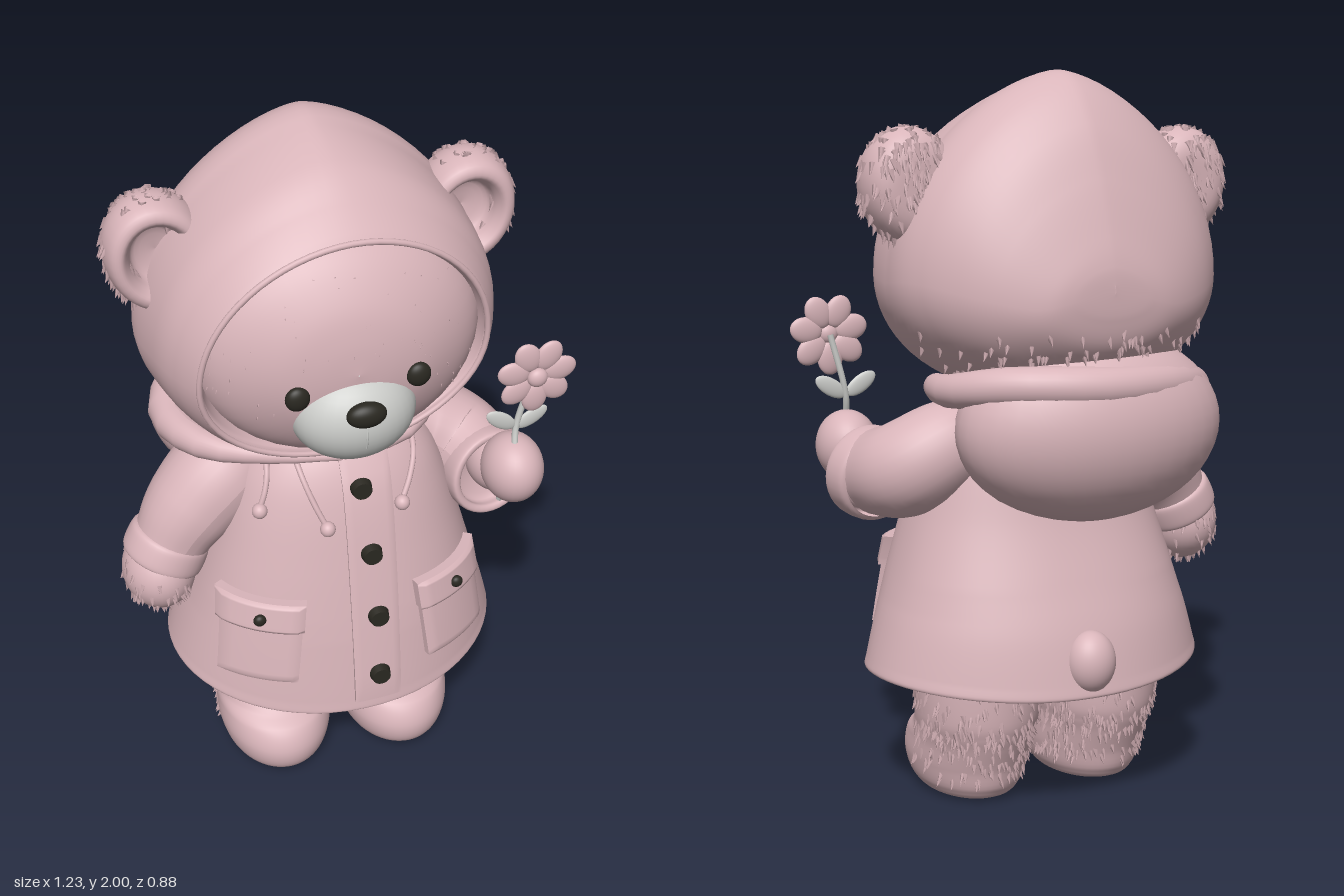
import * as THREE from 'three';
import { mergeGeometries } from 'three/addons/utils/BufferGeometryUtils.js';
import { ParametricGeometry } from 'three/addons/geometries/ParametricGeometry.js';

const V = (x, y, z) => new THREE.Vector3(x, y, z);
const mat = (name, color) => Object.assign(new THREE.MeshStandardMaterial({ color }), { name });

let seed = 7;
const rand = () => (seed = (seed * 16807) % 2147483647) / 2147483647;

// Smooth interpolation through a short table of rows
function sample(rows, t) {
  const f = Math.min(Math.max(t, 0), 1) * (rows.length - 1);
  const i = Math.min(Math.floor(f), rows.length - 2), s = f - i;
  const a = rows[Math.max(i - 1, 0)], b = rows[i], c = rows[i + 1], d = rows[Math.min(i + 2, rows.length - 1)];
  return b.map((_, k) => b[k] + 0.5 * s * (c[k] - a[k] + s * (2 * a[k] - 5 * b[k] + 4 * c[k] - d[k] + s * (3 * (b[k] - c[k]) + d[k] - a[k]))));
}

// Stack of rounded rings; rows are [y, half width, front z, back z], a lower power is squarer
const power = (v, e) => Math.sign(v) * Math.abs(v) ** e;
function ovalStack(rows, x0, n, square = () => 1, bend = () => 0) {
  return new ParametricGeometry((u, v, p) => {
    const a = u * Math.PI * 2, [y, w, f, b] = sample(rows, v), c = Math.cos(a), mid = (f + b) / 2, e = square(y);
    p.set(x0 + w * power(Math.sin(a), e), y + bend(a, y), mid + (f - mid) * power(c, e));
  }, 64, n);
}

function ball(rx, ry, rz, x, y, z, rotZ = 0) {
  return new THREE.SphereGeometry(1, 36, 24).scale(rx, ry, rz).rotateZ(rotZ).translate(x, y, z);
}

// Tube whose radius follows a list
function limb(points, radii) {
  const curve = new THREE.CatmullRomCurve3(points), n = 32, m = 28;
  const g = new THREE.TubeGeometry(curve, n, 1, m), pos = g.attributes.position, v = V(0, 0, 0);
  for (let i = 0; i < pos.count; i++) {
    const t = Math.floor(i / (m + 1)) / n, c = curve.getPointAt(t);
    v.fromBufferAttribute(pos, i).sub(c).multiplyScalar(sample(radii.map(r => [r]), t)[0]).add(c);
    pos.setXYZ(i, v.x, v.y, v.z);
  }
  g.computeVertexNormals();
  return g;
}

const tube = (points, r, closed = false) =>
  new THREE.TubeGeometry(new THREE.CatmullRomCurve3(points, closed), 64, r, 10, closed);

// Turned shape whose axis points along dir
function turned(profile, centre, dir) {
  const g = new THREE.LatheGeometry(new THREE.SplineCurve(profile.map(p => new THREE.Vector2(...p))).getPoints(36), 36);
  return g.applyQuaternion(new THREE.Quaternion().setFromUnitVectors(V(0, 1, 0), dir.normalize())).translate(centre.x, centre.y, centre.z);
}

// Little tufts scattered over a surface, combed downwards
function tufts(source, count, len, keep = () => true) {
  const pos = source.attributes.position, nor = source.attributes.normal, out = [], q = new THREE.Quaternion();
  for (let k = 0; k < count * 20 && out.length < count; k++) {
    const i = Math.floor(rand() * pos.count);
    const p = V().fromBufferAttribute(pos, i), n = V().fromBufferAttribute(nor, i).normalize();
    if (!keep(p, n)) continue;
    const dir = n.clone().multiplyScalar(0.4).add(V((rand() - 0.5) * 0.5, -0.8, 0)).normalize();
    q.setFromUnitVectors(V(0, 1, 0), dir);
    p.addScaledVector(n, -0.004).addScaledVector(V(rand() - 0.5, rand() - 0.5, rand() - 0.5).projectOnPlane(n), 0.02);
    out.push(new THREE.ConeGeometry(len * 0.32, len, 5, 1, true).translate(0, len * 0.3, 0).applyQuaternion(q).translate(p.x, p.y, p.z));
  }
  return mergeGeometries(out);
}

// Coat is squarer at the pockets than at the hem
const coatSquare = y => 0.87 + 0.1 * Math.min(1, Math.max(0, (0.65 - y) / 0.25));
const COAT = [[0.44, 0.01, 0.01, -0.01], [0.43, 0.42, 0.33, -0.33], [0.37, 0.465, 0.36, -0.365], [0.365, 0.483, 0.38, -0.383],
  [0.40, 0.477, 0.377, -0.378], [0.52, 0.445, 0.358, -0.35], [0.65, 0.405, 0.335, -0.305], [0.80, 0.36, 0.305, -0.255],
  [0.95, 0.315, 0.27, -0.22], [1.05, 0.27, 0.235, -0.19], [1.12, 0.205, 0.19, -0.16], [1.18, 0.1, 0.12, -0.1]];

// Point on the coat front, pushed out along its normal
function onCoat(x, y, off) {
  let lo = 3 / 11, hi = 1;
  for (let i = 0; i < 24; i++) { const m = (lo + hi) / 2; if (sample(COAT, m)[0] < y) lo = m; else hi = m; }
  const [, w, f, b] = sample(COAT, lo), mid = (f + b) / 2, r = f - mid, e = coatSquare(y);
  const z = r * Math.max(0.02, 1 - Math.abs(x / w) ** (2 / e)) ** (e / 2);
  const n = V(x / (w * w), 0, z / (r * r)).normalize();
  return V(x, y, mid + z).addScaledVector(n, off);
}

// Slab wrapped over the coat front
function patch(x, y, w, h, d, lean = 0) {
  const g = new THREE.BoxGeometry(w, h, d, 12, 16, 1), p = g.attributes.position;
  for (let i = 0; i < p.count; i++) {
    const edge = Math.max(Math.abs(p.getX(i)) / w, Math.abs(p.getY(i)) / h) * 2;
    const off = p.getZ(i) > 0 ? d * (edge > 0.95 ? 0.7 : 1) : -0.01;
    const v = onCoat(x + p.getX(i) + lean * p.getY(i), y + p.getY(i), off);
    p.setXYZ(i, v.x, v.y, v.z);
  }
  g.computeVertexNormals();
  return g;
}

export function createModel() {
  const model = new THREE.Group();
  const pink = mat('dustyPink', 0xd9b5ba), ivory = mat('ivoryGrey', 0xcbccc9), black = mat('softBlack', 0x2a2821);
  pink.side = ivory.side = THREE.DoubleSide;
  const add = (name, geo, m = pink) => {
    const mesh = new THREE.Mesh(geo, m);
    mesh.name = name;
    model.add(mesh);
    return geo;
  };
  const cx = -0.04;

  // Hood; rows are [z, top, bottom, half width], from the inner lining round the lip to the back
  const HOOD = [[0.14, 1.77, 1.22, 0.35], [0.235, 1.795, 1.185, 0.372], [0.258, 1.81, 1.165, 0.38], [0.25, 1.825, 1.14, 0.395],
    [0.19, 1.88, 1.125, 0.428], [0.1, 1.95, 1.12, 0.457], [-0.06, 2.0, 1.13, 0.472], [-0.17, 1.965, 1.15, 0.438],
    [-0.26, 1.86, 1.18, 0.372], [-0.325, 1.72, 1.23, 0.295], [-0.375, 1.575, 1.29, 0.2], [-0.395, 1.5, 1.36, 0.12], [-0.4, 1.45, 1.43, 0.002]];
  const hoodPoint = (u, v, p) => {
    const a = u * Math.PI * 2, [z, top, bot, w] = sample(HOOD, v), s = Math.sin(a), c = Math.cos(a);
    const front = Math.min(1, Math.max(0, z / 0.25)), mid = bot + (top - bot) * (0.37 + 0.08 * front);
    const x = w * power(s, c > 0 ? 1.33 - 0.3 * front : 1);
    const y = mid + (c > 0 ? top - mid : mid - bot) * c;
    return p.set(cx + 0.012 * front + x, y, z + ((y - 1.48) * 0.1 - 0.055 * x) * front);
  };
  const hood = add('hood', new ParametricGeometry(hoodPoint, 72, 60));
  add('hoodBackFur', tufts(hood, 130, 0.032, p => p.y < 1.33 && p.z < -0.05));
  const rim = [];
  for (let i = 0; i < 40; i++) rim.push(hoodPoint(i / 40, 0.2, V()));
  add('hoodRim', tube(rim, 0.008, true));

  // Face, a broad shallow dome that fills the opening
  const face = add('face', turned([[0.3, -0.1], [0.37, 0.05], [0.385, 0.15], [0.36, 0.225], [0.3, 0.285], [0.2, 0.338], [0.1, 0.362], [0.002, 0.37]],
    V(0, 0, 0), V(0, 0, 1)).scale(1, 0.88, 1).translate(-0.03, 1.485, 0));
  add('faceFur', tufts(face, 70, 0.016, (p, n) => n.z > 0.45 && p.y > 1.3 && Math.hypot(p.x + 0.03, p.y - 1.34) > 0.2));
  add('muzzle', ball(0.165, 0.135, 0.13, -0.026, 1.345, 0.3), ivory);
  add('nose', ball(0.052, 0.035, 0.028, -0.025, 1.4, 0.418), black);
  add('mouth', tube([V(-0.025, 1.37, 0.425), V(-0.025, 1.335, 0.4285), V(-0.025, 1.3, 0.421)], 0.003), ivory);
  for (const s of [-1, 1]) add('eye', ball(0.032, 0.034, 0.02, -0.027 + s * 0.157, 1.443 + s * 0.007, 0.355), black);

  // Ears with a cupped front and furry back
  for (const s of [-1, 1]) {
    const ear = turned([[0, -0.09], [0.078, -0.088], [0.12, -0.058], [0.135, 0], [0.124, 0.062], [0.098, 0.078], [0.078, 0.055], [0.06, 0.015], [0, 0]],
      V(0, 0, 0), V(0, 0, 1)).scale(1, 1.18, 1).rotateZ(-s * 0.2).translate(cx + s * 0.405, 1.695, -0.02);
    add('ear', ear);
    add('earFur', tufts(ear, 170, 0.035, (p, n) => p.z < 0.03 && n.z < 0.3 && s * (p.x - cx) > 0.34));
  }

  // Coat, placket, buttons and pockets
  add('coat', ovalStack(COAT, 0, 60, coatSquare, (a, y) => -(0.02 * Math.cos(2 * a) + 0.015 * Math.cos(a)) * Math.max(0, 1 - Math.abs(y - 0.37) / 0.2)));
  add('placket', patch(0.035, 0.74, 0.135, 0.74, 0.012));
  [[0.015, 1.035], [0.03, 0.845], [0.04, 0.65], [0.038, 0.46]].forEach(([x, y]) => {
    const p = onCoat(x, y, 0.02), g = new THREE.CylinderGeometry(0.026, 0.031, 0.022, 24).rotateX(Math.PI / 2);
    add('coatButton', g.translate(p.x, p.y, p.z), black);
  });
  for (const s of [-1, 1]) {
    add('pocket', patch(s * 0.272, 0.57, 0.195, 0.21, 0.025, -s * 0.12));
    add('pocketFlap', patch(s * 0.259, 0.677, 0.205, 0.085, 0.036, -s * 0.12));
    const b = onCoat(s * 0.263, 0.677, 0.04);
    add('pocketButton', ball(0.018, 0.018, 0.014, b.x, b.y, b.z), black);
  }

  // Drawstrings with bead ends
  [[-0.2, -0.243, 0.975], [-0.14, -0.083, 0.94], [0.19, 0.125, 0.97]].forEach(([x0, x1, y]) => {
    const pts = [0, 0.33, 0.66, 1].map(t => onCoat(x0 + (x1 - x0) * t ** 1.5, 1.13 + (y - 1.13) * t, 0.012));
    add('drawstring', tube(pts, 0.008));
    add('drawstringBead', ball(0.021, 0.022, 0.021, pts[3].x, pts[3].y, pts[3].z + 0.005));
  });

  // Spare hood hanging down the back, with its thick rolled collar
  add('hangingHood', ball(0.385, 0.26, 0.235, -0.075, 1.06, -0.2));
  add('collarRoll', limb([V(-0.02, 1.11, 0.2), V(0.16, 1.13, 0.17), V(0.26, 1.155, 0.06), V(0.295, 1.165, -0.12), V(0.2, 1.19, -0.28), V(-0.04, 1.185, -0.365),
    V(-0.3, 1.17, -0.29), V(-0.42, 1.125, -0.12), V(-0.37, 1.13, 0.06), V(-0.2, 1.13, 0.17), V(-0.02, 1.11, 0.2)],
  [0.012, 0.025, 0.038, 0.05, 0.055, 0.055, 0.055, 0.06, 0.045, 0.025, 0.012]));

  // Sleeves, cuffs and paws
  const cuff = (r, c, d) => add('cuff', turned([[r * 0.9, -0.045], [r * 1.02, -0.03], [r * 1.05, 0.02], [r, 0.04], [r * 0.85, 0.035], [r * 0.78, 0], [0.01, -0.02]], c, d));
  add('rightSleeve', limb([V(-0.18, 1.06, -0.02), V(-0.31, 0.98, 0), V(-0.42, 0.87, 0.02), V(-0.47, 0.79, 0.03)], [0.09, 0.135, 0.13, 0.105]));
  cuff(0.112, V(-0.48, 0.775, 0.03), V(-0.45, -0.9, 0.1));
  const paw = add('rightPaw', ball(0.103, 0.115, 0.12, -0.508, 0.71, 0.04));
  add('rightPawFur', tufts(paw, 110, 0.03, p => p.y < 0.76));
  add('leftSleeve', limb([V(0.17, 1.05, -0.03), V(0.29, 1.0, -0.04), V(0.38, 0.945, 0.0), V(0.425, 0.92, 0.11)], [0.1, 0.125, 0.132, 0.118]));
  cuff(0.124, V(0.428, 0.915, 0.12), V(0.2, 0.12, 1));
  add('leftWrist', ball(0.085, 0.09, 0.1, 0.45, 0.95, 0.13));
  add('leftPaw', ball(0.086, 0.1, 0.1, 0.465, 0.98, 0.215));

  // Flower
  const fx = 0.505, fy = 1.29, fz = 0.235;
  add('stem', tube([V(0.44, 0.86, 0.2), V(0.455, 1.0, 0.25), V(0.465, 1.12, 0.22), V(fx, fy, fz - 0.01)], 0.009), ivory);
  for (let i = 0; i < 7; i++) {
    const a = i / 7 * Math.PI * 2 + 0.2;
    add('petal', ball(0.046, 0.036, 0.014, fx + 0.067 * Math.cos(a), fy + 0.067 * Math.sin(a), fz, a));
  }
  add('flowerCentre', ball(0.028, 0.028, 0.02, fx, fy, fz + 0.008));
  add('leaf', ball(0.05, 0.024, 0.009, 0.42, 1.15, 0.22, -0.6), ivory);
  add('leaf', ball(0.05, 0.024, 0.009, 0.508, 1.145, 0.22, 0.55), ivory);

  // Legs with rounded feet, and the tail under the coat
  const LEG = [[0.002, 0.001, 0.071, 0.069], [0.004, 0.105, 0.21, -0.08], [0.035, 0.145, 0.272, -0.125], [0.1, 0.165, 0.29, -0.145], [0.165, 0.167, 0.265, -0.17],
    [0.205, 0.168, 0.205, -0.185], [0.25, 0.174, 0.178, -0.195], [0.35, 0.178, 0.175, -0.2], [0.46, 0.17, 0.165, -0.2]];
  for (const s of [-1, 1]) {
    const leg = add('leg', ovalStack(LEG, s * 0.185 - 0.01, 40));
    add('legFur', tufts(leg, 380, 0.032, p => p.y > 0.06 && p.y < 0.4 && (p.z < 0.05 || p.y > 0.23)));
  }
  add('tail', ball(0.07, 0.085, 0.065, 0, 0.45, -0.35));

  return model;
}
